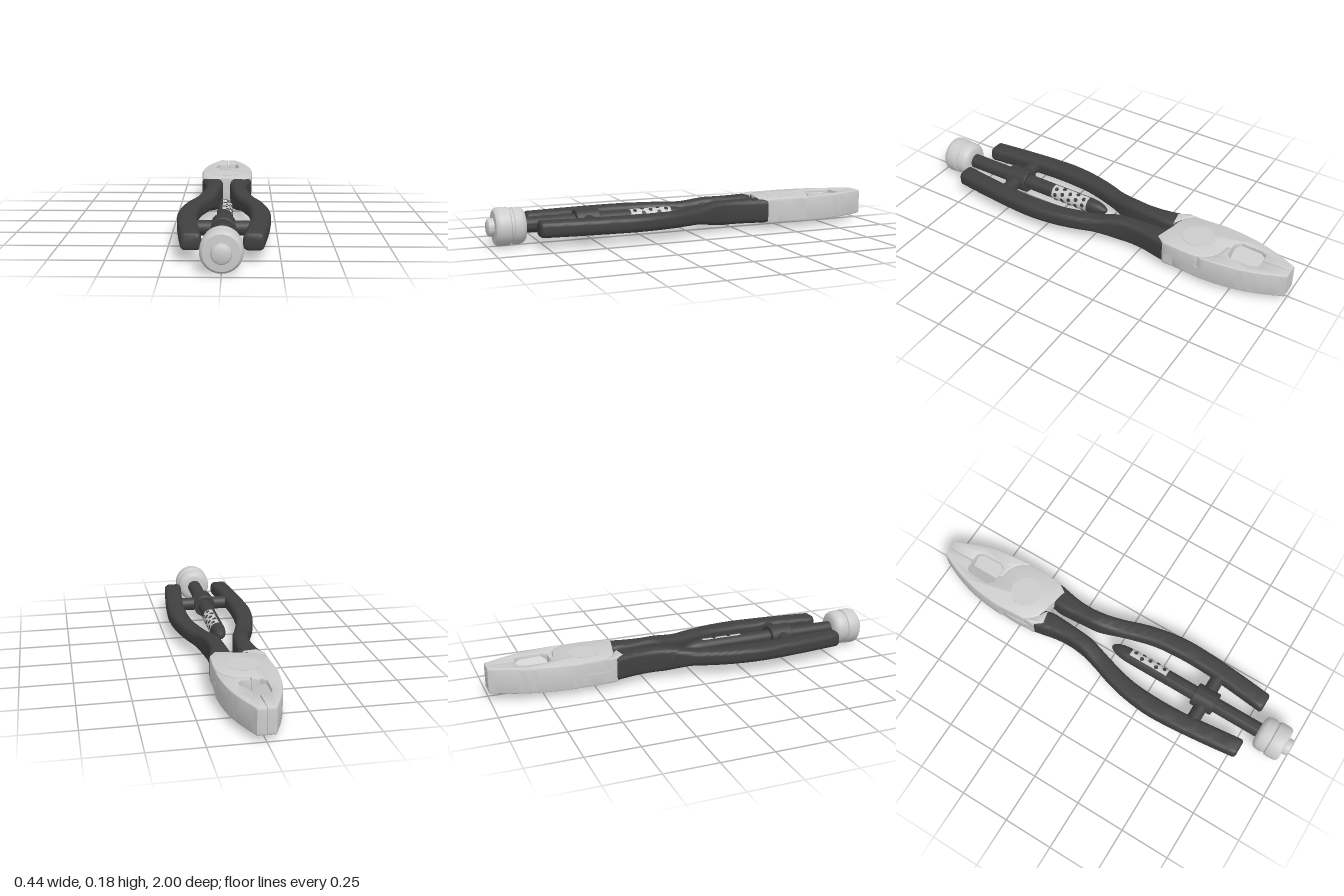
import * as THREE from 'three';
import { toCreasedNormals } from 'three/addons/utils/BufferGeometryUtils.js';

const metal = new THREE.MeshStandardMaterial({ color: 0xcccccc });
const grip = new THREE.MeshStandardMaterial({ color: 0x404040 });
const T = 0.0625; // half thickness of the head

function add(parent, name, geometry, material) {
  const mesh = new THREE.Mesh(geometry, material);
  mesh.name = name;
  parent.add(mesh);
  return mesh;
}

const spline = (pts, n = 16) =>
  new THREE.SplineCurve(pts.map(p => new THREE.Vector2(...p))).getPoints(n).map(p => [p.x, p.y]);
const mirror = pts => pts.map(([x, z]) => [-x, z]);

// Outlines in x, z
const jawEdge = spline([[-0.14, -0.61], [-0.133, -0.7], [-0.116, -0.8], [-0.085, -0.9], [-0.042, -1]]);
const upperSeam = spline([[0, -0.68], [0.06, -0.667], [0.105, -0.637], [0.134, -0.59]]);
const lowerSeam = spline([[0.13, -0.46], [0.1, -0.42], [0.05, -0.392], [0.03, -0.376]], 10);
const tangEnd = [[0.132, -0.41], [0.1, -0.36]];
const notch = [[-0.001, -0.86], [-0.045, -0.856], [-0.06, -0.83], [-0.062, -0.725], [-0.04, -0.7], [-0.001, -0.7]];

// Plate on one side of the middle plane, bevelled only on its outer face
function halfPlate(points, side) {
  const b = 0.012, s = 0.005;
  const shape = new THREE.Shape(points.map(([x, z]) => new THREE.Vector2(x, -z)));
  const geo = new THREE.ExtrudeGeometry(shape, {
    depth: 2 * T - 2 * b, bevelThickness: b, bevelSize: s, bevelOffset: -s, bevelSegments: 3,
  });
  geo.translate(0, 0, -T + b).rotateX(-Math.PI / 2);
  const p = geo.attributes.position;
  for (let i = 0; i < p.count; i++) {
    if (p.getY(i) * side < 0) p.setY(i, 0);
    // keep the biting edges of the jaws tight against each other
    if (p.getX(i) > -0.012 && p.getZ(i) < -0.865) p.setX(i, -0.001);
  }
  return toCreasedNormals(geo, 0.6);
}

// One half of the head: a jaw, a lap plate over the pivot and a tang for the opposite handle
function headHalf(flipped) {
  const g = new THREE.Group();
  g.name = flipped ? 'leftHeadHalf' : 'rightHeadHalf';
  const tip = [[-0.001, -1]];
  add(g, 'jawAndLapPlate', halfPlate([
    ...tip, ...(flipped ? [] : notch), ...upperSeam,
    [0.138, -0.56], [0.138, -0.5], [0.134, -0.45], ...tangEnd, [0.03, -0.376], [0, -0.385],
    [-0.05, -0.392], [-0.08, -0.404], [-0.105, -0.424], [-0.13, -0.46],
    [-0.134, -0.53], ...jawEdge], 1), metal);
  add(g, 'jawInnerHalf', halfPlate([
    ...tip, ...(flipped ? notch : []), ...mirror(upperSeam), ...jawEdge], -1), metal);
  add(g, 'handleTang', halfPlate([...lowerSeam, ...tangEnd.slice().reverse()], -1), metal);
  if (flipped) g.rotation.z = Math.PI;
  return g;
}

// Handle lofted from rounded rectangles: stations are outer x, inner x, z
function handleGeometry() {
  const path = new THREE.CatmullRomCurve3([
    [0.132, 0.03, -0.4], [0.122, 0.02, -0.35], [0.109, 0.022, -0.28], [0.105, 0.028, -0.2],
    [0.115, 0.035, -0.12], [0.14, 0.055, -0.04], [0.175, 0.085, 0.06], [0.202, 0.112, 0.17],
    [0.218, 0.123, 0.31], [0.213, 0.121, 0.45], [0.2, 0.107, 0.6], [0.18, 0.088, 0.775],
  ].map(a => new THREE.Vector3(...a)));
  const rings = path.getPoints(56).map(p => [p.x, p.y, p.z, 0]);
  const last = rings[rings.length - 1];
  rings.push([last[0], last[1], 0.783, 0.004], [last[0], last[1], 0.787, 0.012]);
  const pos = [], idx = [], n = 24;
  for (const [outer, inner, z, inset] of rings) {
    const cx = (outer + inner) / 2, w = (outer - inner) / 2 - inset;
    const h = 0.038 + 0.022 * (1 - THREE.MathUtils.smoothstep(z, -0.16, 0.01)) - inset;
    const r = 0.024 - inset / 2;
    for (let c = 0; c < 4; c++) for (let k = 0; k < 6; k++) {
      const a = (c + k / 5) * Math.PI / 2;
      const sx = c === 0 || c === 3 ? 1 : -1, sy = c < 2 ? 1 : -1;
      pos.push(cx + sx * (w - r) + r * Math.cos(a), sy * (h - r) + r * Math.sin(a), z);
    }
  }
  for (let j = 0; j < rings.length - 1; j++) for (let i = 0; i < n; i++) {
    const a = j * n + i, b = j * n + (i + 1) % n;
    idx.push(a, b, a + n, b, b + n, a + n);
  }
  const end = (rings.length - 1) * n;
  for (let i = 1; i < n - 1; i++) idx.push(0, i + 1, i, end, end + i, end + i + 1);
  const geo = new THREE.BufferGeometry();
  geo.setAttribute('position', new THREE.Float32BufferAttribute(pos, 3));
  geo.setIndex(idx);
  return toCreasedNormals(geo, 0.7);
}

// Turned part along z: profile points are radius, z
const turned = (profile, seg = 40) => toCreasedNormals(
  new THREE.LatheGeometry(profile.map(p => new THREE.Vector2(...p)), seg).rotateX(Math.PI / 2), 0.6);

export function createModel() {
  const model = new THREE.Group();
  model.name = 'pliers';
  const body = new THREE.Group();
  body.name = 'body';
  body.position.y = 0.092;
  model.add(body);

  // Head with two lapped halves
  body.add(headHalf(false), headHalf(true));
  add(body, 'pivotPin', new THREE.CylinderGeometry(0.076, 0.076, 2 * T + 0.002, 40), metal)
    .position.z = -0.53;

  // Sloping cutters on the floor of the jaw pocket
  const cutter = new THREE.Shape([[-0.066, -0.01], [0.066, -0.01], [0.066, 0.05], [0, 0.002], [-0.066, 0.05]]
    .map(p => new THREE.Vector2(...p)));
  add(body, 'cutters', new THREE.ExtrudeGeometry(cutter, { depth: 0.17, bevelEnabled: false }), metal)
    .position.z = -0.865;

  // Handles and the arms that hold the collar
  const handle = handleGeometry();
  for (const s of [1, -1]) {
    const side = s > 0 ? 'left' : 'right';
    add(body, side + 'Handle', handle, grip).rotation.z = s > 0 ? 0 : Math.PI;
    const arm = add(body, side + 'CollarArm', new THREE.CylinderGeometry(0.034, 0.034, 0.09, 24), grip);
    arm.rotation.z = Math.PI / 2;
    arm.position.set(s * 0.09, 0, 0.522);
  }
  add(body, 'collar', turned([[0.036, 0.463], [0.054, 0.463], [0.058, 0.467], [0.058, 0.576],
    [0.054, 0.58], [0.036, 0.58]]), grip);

  // Rod with a rounded nose
  add(body, 'rod', turned([[0, -0.015], [0.009, -0.012], [0.018, 0], [0.027, 0.02], [0.033, 0.045],
    [0.037, 0.08], [0.037, 0.83]], 32), grip);

  // Perforated sleeve on the rod
  const reach = 1.82;
  const sleeve = add(body, 'sleeve', new THREE.CylinderGeometry(0.0385, 0.0385, 0.21, 32, 1, true,
    Math.PI / 2 - reach, 2 * reach), metal.clone());
  sleeve.material.side = THREE.DoubleSide;
  sleeve.rotation.x = Math.PI / 2;
  sleeve.position.z = 0.195;
  const dot = new THREE.CylinderGeometry(0.0105, 0.0105, 0.006, 14);
  for (let row = 0; row < 5; row++) for (let col = 0; col < 4; col++) {
    const a = (col - 1.5) * 0.85 + (row % 2 ? 0.2 : -0.2);
    const hole = add(body, 'sleeveHole', dot, grip);
    hole.rotation.z = a - Math.PI / 2;
    hole.position.set(0.0365 * Math.cos(a), 0.0365 * Math.sin(a), 0.113 + row * 0.041);
  }

  // Knob with a groove and an end button
  add(body, 'knob', turned([[0, 0.822], [0.055, 0.822], [0.07, 0.826], [0.081, 0.835], [0.087, 0.85],
    [0.088, 0.88], [0.083, 0.885], [0.083, 0.895], [0.09, 0.9], [0.091, 0.91], [0.091, 0.945],
    [0.087, 0.96], [0.078, 0.968], [0.043, 0.97], [0.043, 0.986], [0.039, 0.995], [0.03, 1], [0, 1]], 48), metal);

  return model;
}
